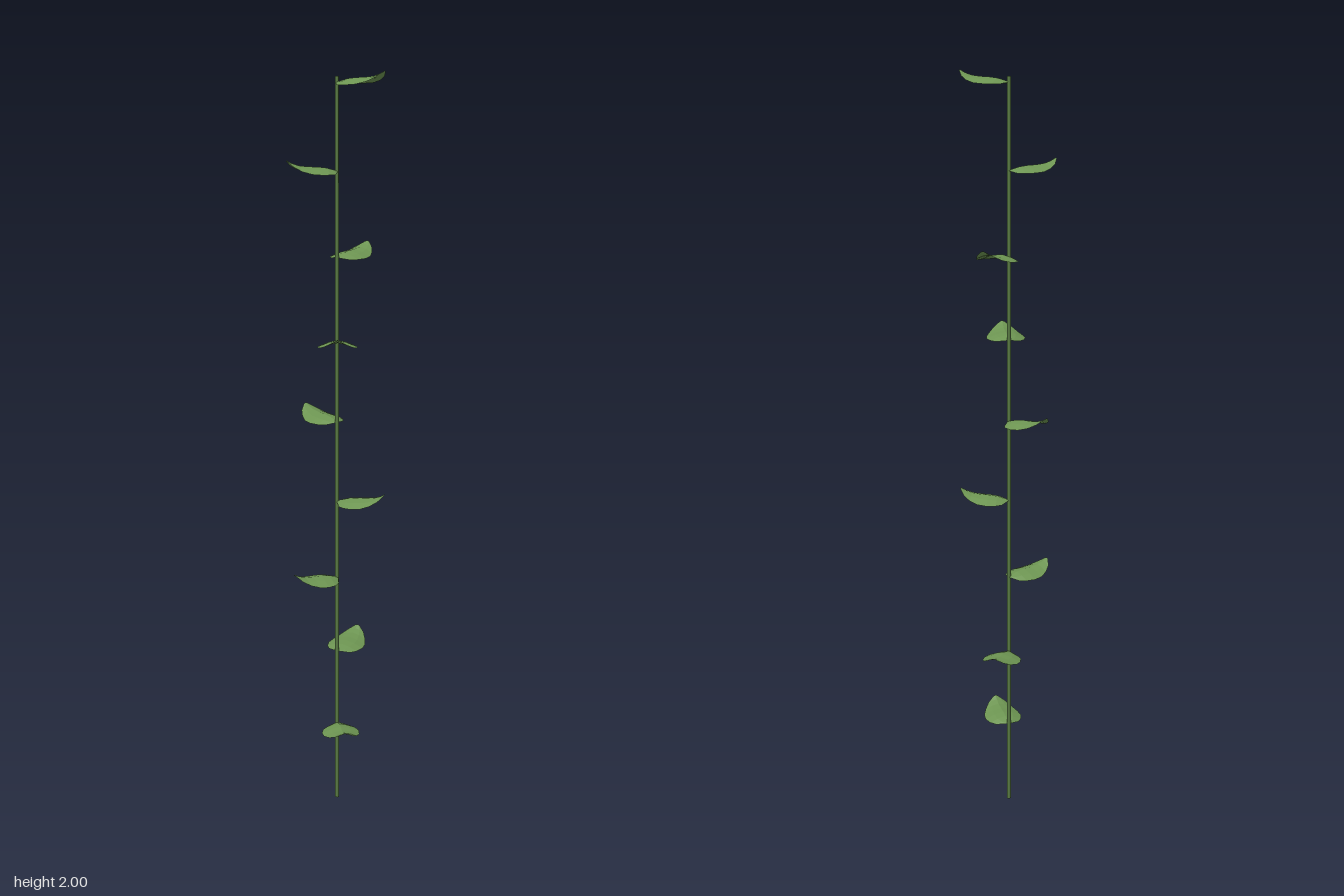
import * as THREE from 'three';

const LEAF_LENGTH = 0.13;

// Linear lookup in a short list of [t, value] pairs
function sample(points, t) {
  for (let i = 1; i < points.length; i++) {
    const [t0, a] = points[i - 1];
    const [t1, b] = points[i];
    if (t <= t1) return a + ((b - a) * (t - t0)) / (t1 - t0);
  }
  return points[points.length - 1][1];
}

// Half width and midrib height along the leaf
const halfWidth = [[0, 0.006], [0.1, 0.032], [0.22, 0.045], [0.4, 0.052], [0.58, 0.049], [0.76, 0.038], [0.9, 0.025], [1, 0.006]];
const midrib = [[0, 0], [0.22, 0.008], [0.4, 0.011], [0.58, 0.012], [0.76, 0.015], [0.9, 0.021], [1, 0.028]];

// Faceted leaf along +x: arched across, curling up at the tip
function leafGeometry() {
  const rows = halfWidth.map(([t]) => t);
  const plane = new THREE.PlaneGeometry(1, 2, rows.length - 1, 4).rotateX(-Math.PI / 2);
  const p = plane.attributes.position;
  for (let i = 0; i < p.count; i++) {
    const t = rows[Math.round((p.getX(i) + 0.5) * (rows.length - 1))];
    const s = p.getZ(i);
    const w = sample(halfWidth, t);
    const droop = 0.016 * (w / 0.052) * Math.pow(Math.abs(s), 1.5);
    p.setXYZ(i, t * LEAF_LENGTH, sample(midrib, t) - droop, s * w);
  }
  const leaf = plane.toNonIndexed();
  leaf.computeVertexNormals();
  return leaf;
}

export function createModel() {
  const model = new THREE.Group();
  model.name = 'leafyStem';
  const leafGreen = new THREE.MeshStandardMaterial({ color: 0x6d9552, side: THREE.DoubleSide });
  leafGreen.name = 'leafGreen';
  const stemGreen = new THREE.MeshStandardMaterial({ color: 0x587a42 });
  stemGreen.name = 'stemGreen';

  // Thin upright stem
  const stem = new THREE.Mesh(new THREE.CylinderGeometry(0.005, 0.006, 1.985, 8), stemGreen);
  stem.name = 'stem';
  stem.position.set(-0.006, 0.9925, 0);
  model.add(stem);

  // Leaves spiralling up the stem, headings in degrees from +x towards +z
  const headings = [132, -13, 203, 68, -80, 141, -2, 217, 79];
  const geometry = leafGeometry();
  headings.forEach((heading, i) => {
    const leaf = new THREE.Mesh(geometry, leafGreen);
    leaf.name = `leaf${i + 1}`;
    leaf.position.set(-0.004, 0.232 + i * 0.2175, 0);
    leaf.rotation.y = -THREE.MathUtils.degToRad(heading);
    model.add(leaf);
  });
  return model;
}
